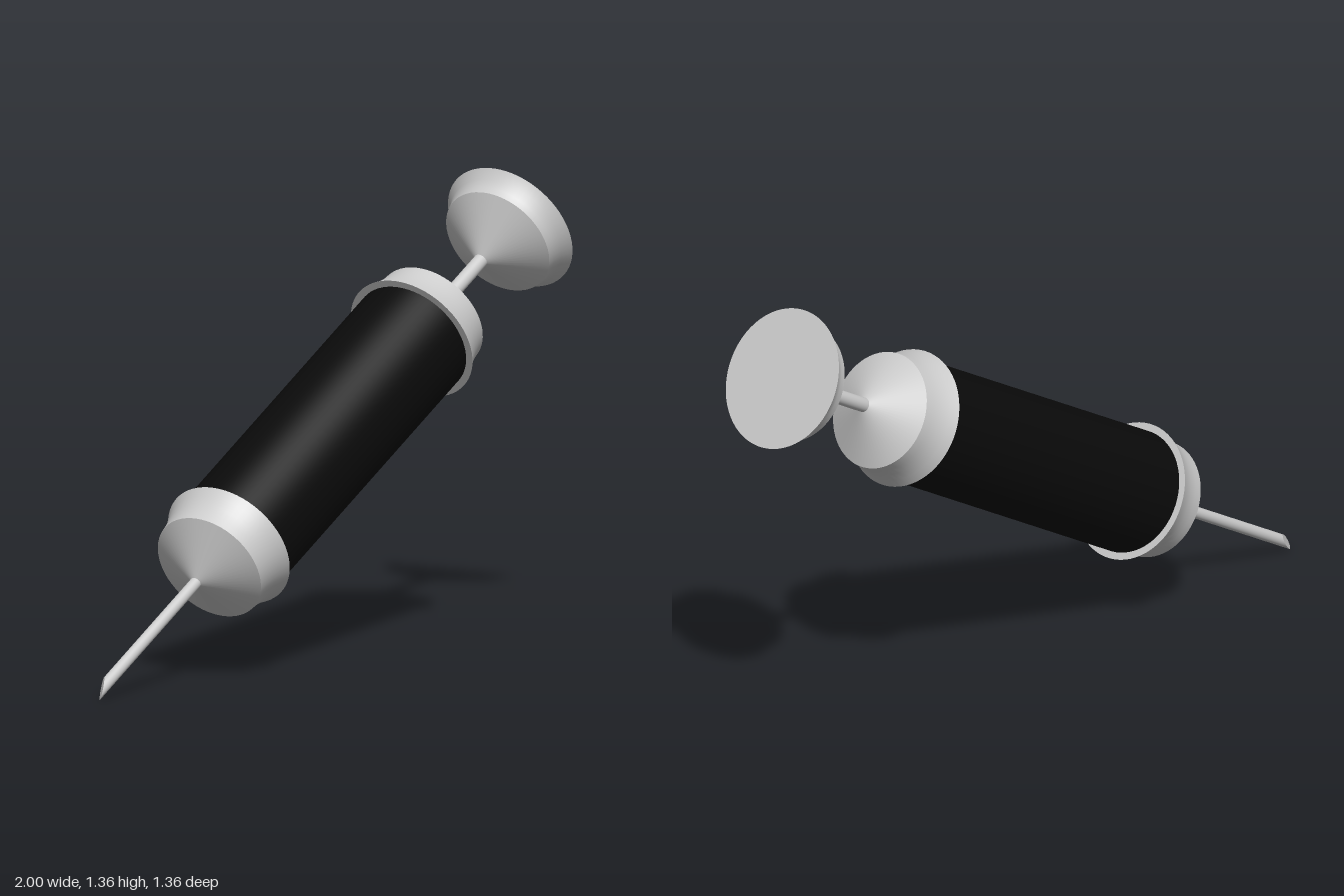
import * as THREE from 'three';

const SEG = 64;
const NEEDLE_R = 0.018;

export function createModel() {
  const model = new THREE.Group();
  const grey = new THREE.MeshStandardMaterial({ color: 0xcccccc });
  const black = new THREE.MeshStandardMaterial({ color: 0x0a0a0a });

  // Turned part: each section is smooth, with a sharp edge between sections.
  // Points are [radius, height], running from bottom to top of the surface.
  function turned(name, sections, material = grey) {
    const group = new THREE.Group();
    group.name = name;
    for (const section of sections) {
      const points = section.map(([r, y]) => new THREE.Vector2(r, y));
      const mesh = new THREE.Mesh(new THREE.LatheGeometry(points, SEG), material);
      mesh.name = name + 'Surface';
      group.add(mesh);
    }
    return group;
  }

  function rod(name, radius, y0, y1, material = grey) {
    const geometry = new THREE.CylinderGeometry(radius, radius, y1 - y0, SEG);
    geometry.translate(0, (y0 + y1) / 2, 0);
    const mesh = new THREE.Mesh(geometry, material);
    mesh.name = name;
    return mesh;
  }

  // Everything is stacked along local y, then tilted
  const syringe = new THREE.Group();
  syringe.name = 'syringe';
  model.add(syringe);

  syringe.add(rod('barrel', 0.188, -0.58, 0.58, black));

  // Two matching end caps: flat lip, flared collar, shallow cone
  for (const end of ['upper', 'lower']) {
    const cap = turned(end + 'Cap', [
      [[0.18, 0.547], [0.21, 0.547]],
      [[0.21, 0.547], [0.197, 0.575], [0.187, 0.605], [0.181, 0.635], [0.178, 0.664]],
      [[0.178, 0.664], [0.015, 0.748]],
    ]);
    if (end === 'lower') cap.rotation.x = Math.PI;
    syringe.add(cap);
  }

  // Plunger rod and its flared thumb rest
  syringe.add(rod('plungerRod', 0.022, 0.7, 1.0));
  syringe.add(turned('thumbRest', [
    [[0.018, 0.957], [0.178, 1.062]],
    [[0.178, 1.062], [0.182, 1.083], [0.192, 1.11], [0.215, 1.137]],
    [[0.215, 1.137], [0, 1.137]],
  ]));

  // Needle with a slanted tip: the lower end is sheared along y
  const needle = rod('needle', NEEDLE_R, -1.347, -0.7);
  const pos = needle.geometry.attributes.position;
  for (let i = 0; i < pos.count; i++) {
    if (pos.getY(i) < -1) {
      pos.setY(i, -1.347 + 0.04 * (1 - pos.getX(i) / NEEDLE_R));
    }
  }
  const sideNormals = needle.geometry.attributes.normal;
  const cut = new THREE.Vector3(-0.04 / NEEDLE_R, -1, 0).normalize();
  for (let i = 0; i < pos.count; i++) {
    if (sideNormals.getY(i) < -0.5) sideNormals.setXYZ(i, cut.x, cut.y, cut.z);
  }
  syringe.add(needle);

  // Tilt: local y follows the long axis, local x the long side of the tip
  const axis = new THREE.Vector3(0.751, 0.4666, -0.4666).normalize();
  const side = new THREE.Vector3(0, -1, 1);
  side.addScaledVector(axis, -side.dot(axis)).normalize();
  const third = new THREE.Vector3().crossVectors(side, axis);
  syringe.quaternion.setFromRotationMatrix(new THREE.Matrix4().makeBasis(side, axis, third));
  syringe.position.set(0, 0.641, 0.037);

  return model;
}
